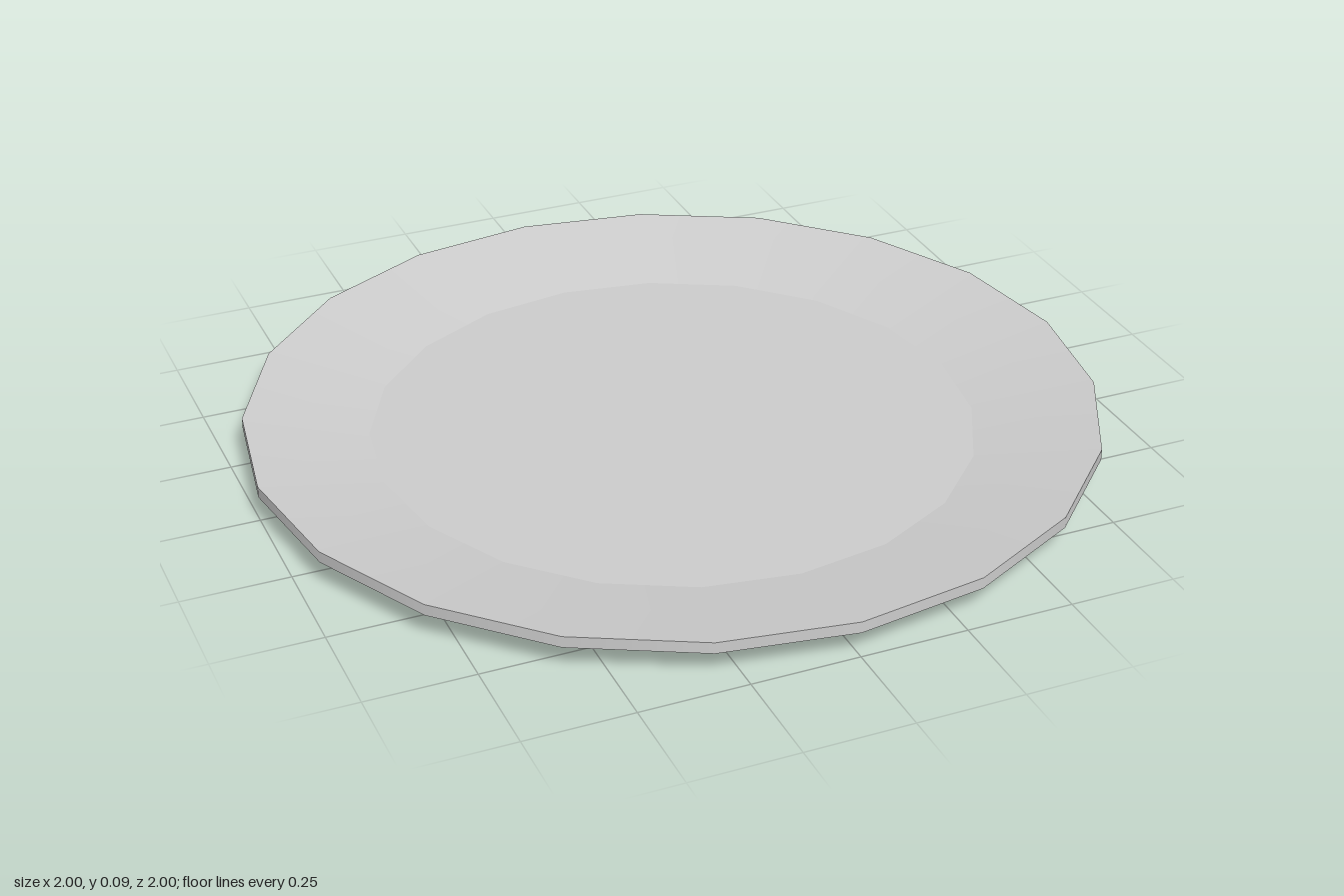
import * as THREE from 'three';

const SIDES = 20;

export function createModel() {
  const plate = new THREE.Group();
  plate.name = 'plate';
  const material = new THREE.MeshStandardMaterial({ color: 0xcccccc });

  // Closed cross-section (radius, height), from the underside centre round to the top centre
  const profile = [[0, 0], [0.71, 0], [1, 0.06], [1, 0.087], [0.71, 0.031], [0, 0.031]]
    .map(([r, y]) => new THREE.Vector2(r, y));
  const names = ['base', 'underside', 'rimEdge', 'slopedRim', 'floor'];

  // One band per profile segment: smooth around, sharp between bands
  names.forEach((name, i) => {
    const band = new THREE.LatheGeometry([profile[i], profile[i + 1]], SIDES);
    const mesh = new THREE.Mesh(band, material);
    mesh.name = name;
    plate.add(mesh);
  });

  return plate;
}
